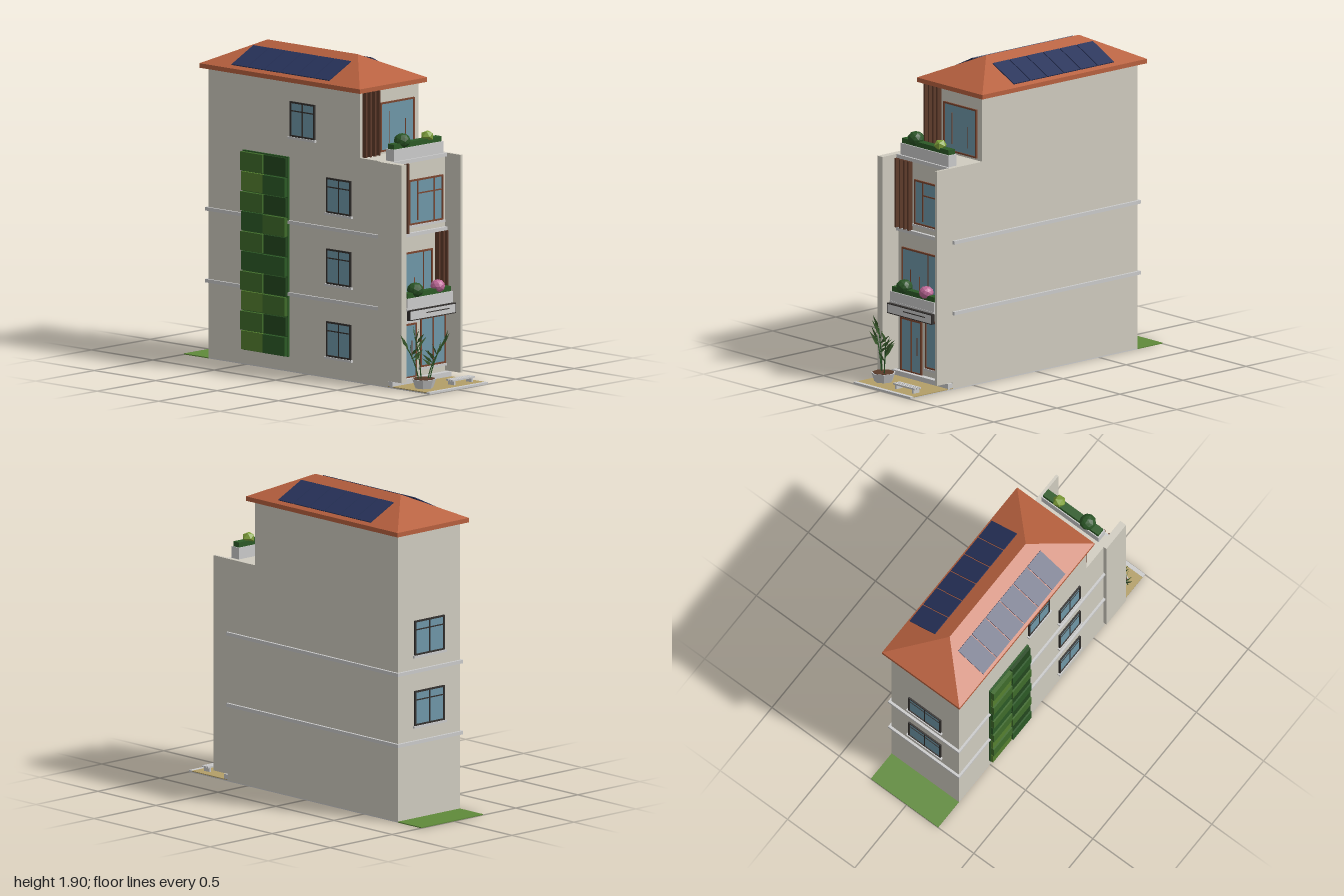
import * as THREE from 'three';

const mat = (color, extra = {}) => new THREE.MeshStandardMaterial({ color, flatShading: true, ...extra });
const M = {
  wall: mat(0xd0ccc0), trim: mat(0xcccccc), roof: mat(0xb8613f), frame: mat(0x7a4630), dark: mat(0x33302e),
  slat: mat(0x5f3b2b), glass: mat(0x6f97a8), solar: mat(0x27325a), grass: mat(0x5f8a3a), paving: mat(0xb39f68),
  hedge: mat(0x2c5a26), bush: mat(0x2a5526), lime: mat(0x7fa03a), pink: mat(0xc06a9a), soil: mat(0x5a3b2a),
  leaf: mat(0x3a5a2c, { side: THREE.DoubleSide }),
};
const CX = 0.015; // centre line of the building

function add(parent, name, geometry, material) {
  const mesh = new THREE.Mesh(geometry, material);
  mesh.name = name;
  parent.add(mesh);
  return mesh;
}

// Box given by its extents
function box(parent, name, material, x0, x1, y0, y1, z0, z1) {
  const m = add(parent, name, new THREE.BoxGeometry(x1 - x0, y1 - y0, z1 - z0), material);
  m.position.set((x0 + x1) / 2, (y0 + y1) / 2, (z0 + z1) / 2);
  return m;
}

// Window facing +z, centred on its own origin; bars are [x0, x1, y0, y1]
function windowUnit(parent, name, w, h, frame, bars = [], sill = true) {
  const g = new THREE.Group(), t = 0.01, d = 0.008;
  g.name = name;
  const a = w / 2, b = h / 2;
  box(g, 'glass', M.glass, -a + t, a - t, -b + t, b - t, -0.004, 0.003);
  for (const s of [-1, 1]) {
    box(g, 'jamb', frame, s * (a - t / 2) - t / 2, s * (a - t / 2) + t / 2, -b, b, -0.004, d);
    box(g, 'rail', frame, -a, a, s * (b - t / 2) - t / 2, s * (b - t / 2) + t / 2, -0.004, d);
  }
  bars.forEach(([x0, x1, y0, y1]) => box(g, 'glazingBar', frame, x0, x1, y0, y1, 0, 0.006));
  if (sill) box(g, 'sill', M.trim, -a - 0.01, a + 0.01, -b - 0.014, -b, -0.004, 0.014);
  parent.add(g);
  return g;
}

// Hipped roof: eave slab plus four sloping faces
function roof(parent) {
  const x0 = -0.27, x1 = 0.305, z0 = -0.84, z1 = 0.465, y = 1.765, top = 1.905, xr = 0.0175;
  box(parent, 'eaves', M.roof, x0, x1, 1.738, y, z0, z1);
  const A = [x0, y, z1], B = [x1, y, z1], C = [x1, y, z0], D = [x0, y, z0], F = [xr, top, 0.175], R = [xr, top, -0.56];
  const tris = [A, B, F, B, C, R, B, R, F, C, D, R, D, A, F, D, F, R];
  const g = new THREE.BufferGeometry();
  g.setAttribute('position', new THREE.Float32BufferAttribute(tris.flat(), 3));
  g.computeVertexNormals();
  add(parent, 'hippedRoof', g, M.roof);
  // Six solar panels on each long slope
  const slope = Math.atan2(top - y, x1 - xr);
  for (const s of [-1, 1]) for (let i = 0; i < 6; i++) {
    const p = add(parent, 'solarPanel', new THREE.BoxGeometry(0.207, 0.006, 0.127), M.solar);
    p.position.set(xr + s * 0.18, top - 0.18 * Math.tan(slope) + 0.013, -0.528 + i * 0.1333);
    p.rotation.z = -s * slope;
  }
}

function planter(parent, x0, x1, y0, y1, z0, z1, shrubs) {
  const g = new THREE.Group();
  g.name = 'planter';
  box(g, 'trough', M.trim, x0, x1, y0, y1, z0, z1);
  box(g, 'hedge', M.hedge, x0 + 0.008, x1 - 0.008, y1, y1 + 0.03, z0 + 0.006, z1 - 0.008);
  for (const [x, r, m] of shrubs) {
    const b = add(g, 'shrub', new THREE.IcosahedronGeometry(r, r > 0.04 ? 1 : 0), m);
    b.position.set(x, y1 + 0.04, (z0 + z1) / 2);
    b.scale.y = 0.9;
    b.rotation.y = x * 5;
  }
  parent.add(g);
}

// Potted bamboo: leaning stems with thin pointed leaves
function pottedPlant(parent) {
  const g = new THREE.Group();
  g.name = 'pottedPlant';
  add(g, 'pot', new THREE.CylinderGeometry(0.074, 0.055, 0.055, 7), M.trim).position.y = 0.0375;
  add(g, 'soil', new THREE.CylinderGeometry(0.066, 0.066, 0.006, 7), M.soil).position.y = 0.065;
  const shape = new THREE.Shape();
  shape.moveTo(0, 0).lineTo(0.009, 0.03).lineTo(0, 0.085).lineTo(-0.009, 0.03);
  const leaf = new THREE.ShapeGeometry(shape);
  const stems = [[-0.105, 0.26, -0.04], [-0.06, 0.32, -0.015], [0.1, 0.28, 0.07], [0.07, 0.21, 0.045]];
  stems.forEach(([dx, h, dz], k) => {
    const path = new THREE.QuadraticBezierCurve3(new THREE.Vector3(dx * 0.3, 0.06, dz * 0.3),
      new THREE.Vector3(dx * 0.5, h * 0.7, dz * 0.5), new THREE.Vector3(dx, h, dz));
    add(g, 'stem', new THREE.TubeGeometry(path, 5, 0.0035, 5), M.bush);
    for (let i = 0; i < 6; i++) {
      const l = add(g, 'leaf', leaf, M.leaf);
      l.position.copy(path.getPoint(0.5 + i * 0.1));
      l.rotation.set(0, i * 2.4 + k, (i % 2 ? 1 : -1) * (0.95 - i * 0.1), 'YXZ');
    }
  });
  g.position.set(-0.132, 0, 0.855);
  parent.add(g);
}

export function createModel() {
  const model = new THREE.Group();
  model.name = 'townhouse';
  const L = -0.235, R = 0.265, F = 0.665;

  // Ground
  box(model, 'groundSlab', M.trim, L, R, 0, 0.006, -0.8, 1);
  box(model, 'backLawn', M.grass, L, R, 0, 0.006, -1, -0.8);
  box(model, 'frontPaving', M.paving, L, R, 0.006, 0.011, 0.66, 0.975);
  box(model, 'kerb', M.trim, L, R, 0.006, 0.012, 0.975, 1);

  // Main volumes
  box(model, 'lowerStoreys', M.wall, L, R, 0.006, 1.347, -0.8, F);
  box(model, 'topStorey', M.wall, L, R, 1.347, 1.74, -0.8, 0.432);
  box(model, 'plinth', M.trim, L, R, 0.006, 0.04, F, 0.7);
  box(model, 'leftwardFin', M.wall, 0.248, R, 0.045, 1.347, F, 0.79);
  box(model, 'rightwardFin', M.wall, -0.255, -0.212, 0.045, 1.347, 0.6, 0.79);
  roof(model);

  // String courses around sides, back and front
  for (const y of [0.455, 0.885]) {
    box(model, 'stringCourse', M.trim, -0.248, 0.28, y, y + 0.021, -0.815, F);
    box(model, 'frontCourse', M.trim, -0.212, 0.248, y, y + 0.021, F, 0.685);
  }
  box(model, 'terraceEdge', M.trim, -0.212, 0.248, 1.325, 1.347, F, 0.68);

  // Vertical timber slats
  const slats = (xs, y0, y1, z) => xs.forEach(x => box(model, 'slat', M.slat, x - 0.006, x + 0.006, y0, y1, z, z + 0.032));
  slats([-0.208, -0.17, -0.133, -0.096], 1.347, 1.738, 0.432);
  slats([-0.205, -0.167, -0.13, -0.094], 0.906, 1.325, F);
  slats([0.17, 0.207, 0.24], 0.476, 0.885, F);

  // Front openings
  const place = (w, x, y, z) => w.position.set(x, y, z);
  place(windowUnit(model, 'topWindow', 0.29, 0.295, M.frame,
    [[-0.073, -0.069, -0.1, 0.09], [0.066, 0.07, -0.1, 0.03]], false), 0.08, 1.508, 0.434);
  place(windowUnit(model, 'thirdFloorWindow', 0.29, 0.27, M.frame,
    [[-0.075, -0.067, -0.11, 0.13], [0.066, 0.074, -0.13, 0.13], [-0.07, 0.14, 0.045, 0.053]]), 0.08, 1.085, F + 0.002);
  place(windowUnit(model, 'balconyDoor', 0.31, 0.31, M.frame,
    [[-0.08, -0.074, -0.15, 0.03], [-0.003, 0.003, -0.15, 0.0], [0.074, 0.08, -0.15, 0.15]], false), -0.02, 0.635, F + 0.002);
  place(windowUnit(model, 'entranceDoor', 0.185, 0.325, M.frame,
    [[-0.004, 0.004, -0.16, 0.16], [0.05, 0.056, -0.05, 0.06]], false), -0.092, 0.2, F + 0.002);
  place(windowUnit(model, 'shopWindow', 0.215, 0.295, M.frame,
    [[-0.004, 0.004, -0.14, 0.14]]), 0.14, 0.238, F + 0.002);
  box(model, 'doorHood', M.trim, -0.2, 0.01, 0.37, 0.385, F, 0.69);

  // Balcony with fascia board and lamps
  box(model, 'balconySlab', M.trim, -0.18, 0.21, 0.462, 0.478, F, 0.765);
  box(model, 'fasciaBoard', M.trim, -0.175, 0.212, 0.408, 0.464, 0.765, 0.785);
  for (const y of [0.406, 0.462]) box(model, 'fasciaRail', M.dark, -0.178, 0.214, y, y + 0.005, 0.763, 0.787);
  for (const x of [-0.178, 0.21]) box(model, 'fasciaEnd', M.dark, x, x + 0.004, 0.406, 0.467, 0.763, 0.787);
  box(model, 'fasciaStrip', M.dark, -0.035, 0.155, 0.438, 0.443, 0.785, 0.789);
  for (const x of [-0.195, 0.222]) box(model, 'lamp', M.dark, x - 0.006, x + 0.006, 0.44, 0.468, F, 0.7);
  planter(model, -0.175, 0.212, 0.478, 0.535, 0.708, 0.763, [[-0.08, 0.05, M.bush], [0.112, 0.044, M.pink]]);
  planter(model, -0.192, 0.233, 1.347, 1.417, 0.605, 0.668, [[-0.088, 0.05, M.bush], [0.125, 0.04, M.lime]]);

  // Back and side windows
  const bars = (w, h) => [[-0.004, 0.004, -h / 2, h / 2], [-w / 2, w / 2, h * 0.22, h * 0.22 + 0.007]];
  for (const y of [0.67, 1.095]) {
    const w = windowUnit(model, 'backWindow', 0.24, 0.21, M.dark, bars(0.24, 0.21));
    place(w, CX, y, -0.802);
    w.rotation.y = Math.PI;
  }
  for (const [y, z] of [[0.235, 0.265], [0.67, 0.265], [1.095, 0.265], [1.515, -0.03]]) {
    const w = windowUnit(model, 'sideWindow', 0.2, 0.21, M.dark, bars(0.2, 0.21));
    place(w, L - 0.002, y, z);
    w.rotation.y = -Math.PI / 2;
  }

  // Living green wall of planted tiles in mixed shades
  const greens = [0x55802f, 0x2c5a26, 0x3f6b2a, 0x24481f].map(c => mat(c));
  box(model, 'greenWallBacking', M.hedge, -0.248, L, 0.09, 1.285, -0.51, -0.14);
  for (let r = 0; r < 10; r++) for (let c = 0; c < 2; c++) {
    const z = -0.508 + c * 0.185, y = 0.095 + r * 0.119, out = (r + c) % 2 ? 0.272 : 0.264;
    const shade = c ? (r * 3) % 4 === 2 ? 2 : 1 + (r % 2) * 2 : r < 3 || r > 6 ? (r % 2) * 2 : 1 + (r % 2);
    box(model, 'greenWallTile', greens[shade], -out, -0.246, y, y + 0.112, z, z + 0.178);
  }

  // Forecourt
  pottedPlant(model);
  for (const z of [0.878, 0.897, 0.916]) box(model, 'benchSlat', M.trim, 0.035, 0.225, 0.035, 0.045, z, z + 0.015);
  for (const x of [0.05, 0.2]) box(model, 'benchLeg', M.trim, x, x + 0.012, 0.011, 0.035, 0.88, 0.928);
  return model;
}
